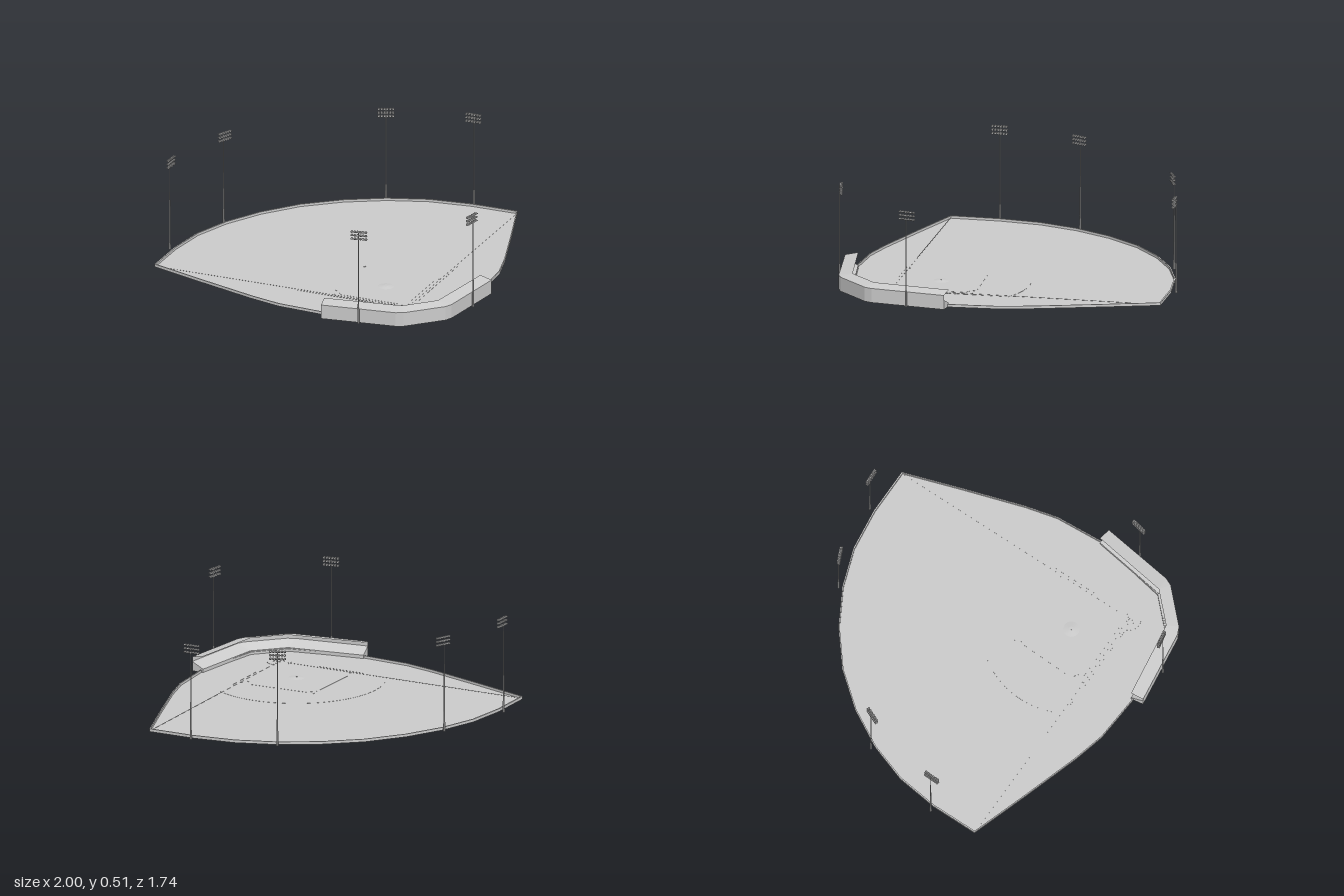
import * as THREE from 'three';

const grey = new THREE.MeshStandardMaterial({ color: 0xcccccc, flatShading: true, side: THREE.DoubleSide });

function add(parent, name, geometry, x = 0, y = 0, z = 0) {
  const mesh = new THREE.Mesh(geometry, grey);
  mesh.name = name;
  mesh.position.set(x, y, z);
  parent.add(mesh);
  return mesh;
}

// Completes a right-half outline of [x, z] points with its mirror image
const mirrored = half => [...half, ...half.filter(p => p[0] !== 0).reverse().map(([x, z]) => [-x, z])];

// Horizontal slab from an [x, z] outline, optionally with a hole
function slab(points, height, hole) {
  const toV = ([x, z]) => new THREE.Vector2(x, -z);
  const shape = new THREE.Shape(points.map(toV));
  if (hole) shape.holes.push(new THREE.Path(hole.map(toV)));
  return new THREE.ExtrudeGeometry(shape, { depth: height, bevelEnabled: false }).rotateX(-Math.PI / 2);
}

// Thin painted line between two ground points
function line(parent, name, [x1, z1], [x2, z2], y, width = 0.004) {
  const length = Math.hypot(x2 - x1, z2 - z1);
  const mesh = add(parent, name, new THREE.BoxGeometry(length, 0.0008, width), (x1 + x2) / 2, y, (z1 + z2) / 2);
  mesh.rotation.y = -Math.atan2(z2 - z1, x2 - x1);
}

// Covered grandstand: one cross-section swept along the bent plan
function grandstandGeometry() {
  const outer = mirrored([[0.47, 0.61], [0.155, 0.85], [0.115, 0.865]]);
  const inner = mirrored([[0.43, 0.555], [0.105, 0.797], [0.1, 0.8]]);
  // [0 = outer edge .. 1 = field edge, y]: roof, back wall, floor, front wall, seating slope
  const profile = [[1, 0.088], [0, 0.075], [0, 0], [1, 0], [1, 0.02], [0, 0.05]];
  const n = profile.length;
  const positions = [], index = [];
  outer.forEach(([ox, oz], i) => {
    const [ix, iz] = inner[i];
    for (const [t, y] of profile) positions.push(ox + (ix - ox) * t, y, oz + (iz - oz) * t);
  });
  for (let i = 0; i < outer.length - 1; i++) {
    for (let j = 0; j < n - 1; j++) {
      const a = i * n + j, b = a + n;
      index.push(a, b, a + 1, b, b + 1, a + 1);
    }
  }
  // End panels below the seats
  const e = (outer.length - 1) * n;
  index.push(2, 3, 4, 2, 4, 5, e + 2, e + 4, e + 3, e + 2, e + 5, e + 4);
  const g = new THREE.BufferGeometry();
  g.setAttribute('position', new THREE.Float32BufferAttribute(positions, 3));
  g.setIndex(index);
  const flat = g.toNonIndexed();
  flat.computeVertexNormals();
  return flat;
}

// Floodlight tower whose lamps face local +z
function lightTower() {
  const tower = new THREE.Group();
  tower.name = 'lightTower';
  add(tower, 'towerBase', new THREE.CylinderGeometry(0.0045, 0.006, 0.08, 8), 0, 0.04, 0);
  add(tower, 'towerPole', new THREE.CylinderGeometry(0.002, 0.0035, 0.43, 8), 0, 0.285, 0);
  const lamp = new THREE.CylinderGeometry(0.007, 0.004, 0.011, 8).rotateX(Math.PI / 2 + 0.35);
  for (let row = 0; row < 3; row++) {
    const y = 0.462 + row * 0.019;
    add(tower, 'lampBar', new THREE.BoxGeometry(0.084, 0.004, 0.004), 0, y, 0.002);
    for (let i = 0; i < 6; i++) add(tower, 'lamp', lamp, (i - 2.5) * 0.0148, y, 0.009);
  }
  return tower;
}

export function createModel() {
  const model = new THREE.Group();
  model.name = 'baseballStadium';

  // Ground and perimeter fence
  const field = mirrored([[0, -0.87], [0.23, -0.846], [0.445, -0.785], [0.64, -0.69], [0.82, -0.55], [1, -0.37],
    [0.855, -0.08], [0.7, 0.22], [0.61, 0.37], [0.44, 0.565], [0.1, 0.8]]);
  add(model, 'ground', slab(field, 0.002));
  add(model, 'fence', slab(field, 0.015, field.map(([x, z]) => [x * 0.992, z * 0.992])));

  // Infield dirt with its rounded outer edge
  const dirt = [[0, -0.137]];
  for (let i = 1; i <= 16; i++) {
    const a = i / 16 * 1.3;
    dirt.push([0.462 * Math.sin(a), 0.325 - 0.462 * Math.cos(a)]);
  }
  dirt.push([0.025, 0.63]);
  add(model, 'infieldDirt', slab(mirrored(dirt), 0.0008), 0, 0.002, 0);

  // Inner grass diamond with clipped corners
  const diamond = mirrored([[0.03, 0.06], [0.26, 0.275], [0.25, 0.31], [0.26, 0.345], [0.03, 0.575]]);
  add(model, 'infieldGrass', slab(diamond, 0.0008), 0, 0.0028, 0);

  // Pitching mound and home plate circle
  add(model, 'pitchingMound', new THREE.CylinderGeometry(0.012, 0.042, 0.004, 24), 0, 0.0056, 0.325);
  add(model, 'pitchersPlate', new THREE.BoxGeometry(0.012, 0.001, 0.003), 0, 0.008, 0.325);
  add(model, 'homeCircle', new THREE.CylinderGeometry(0.063, 0.063, 0.001, 32), 0, 0.0034, 0.625);
  add(model, 'homePlate', slab([[-0.005, 0.618], [0.005, 0.618], [0.005, 0.624], [0, 0.63], [-0.005, 0.624]], 0.001), 0, 0.004, 0);
  add(model, 'secondBase', new THREE.BoxGeometry(0.01, 0.002, 0.01), 0, 0.0036, 0.03).rotation.y = Math.PI / 4;

  for (const s of [-1, 1]) {
    // Foul line, side base and batter's box
    line(model, 'foulLine', [s * 0.03, 0.6], [s * 0.995, -0.367], 0.0038);
    add(model, 'sideBase', new THREE.BoxGeometry(0.01, 0.002, 0.01), s * 0.292, 0.0036, 0.33).rotation.y = Math.PI / 4;
    const [x1, x2, z1, z2] = [s * 0.01, s * 0.027, 0.6, 0.645];
    const box = [[x1, z1], [x2, z1], [x2, z2], [x1, z2]];
    box.forEach((p, i) => line(model, 'battersBoxLine', p, box[(i + 1) % 4], 0.0042, 0.002));
    // Running lane beside the foul line
    line(model, 'runningLane', [s * 0.17, 0.48], [s * 0.35, 0.3], 0.0036, 0.003);

    // Floodlight towers turned towards the field
    for (const [x, z, tx, tz] of [[0.838, -0.567, -0.68, 0.73], [0.447, -0.805, -0.36, 0.93], [0.316, 0.742, -0.56, -0.83]]) {
      const tower = lightTower();
      tower.position.set(s * x, 0, z);
      tower.rotation.y = Math.atan2(s * tx, tz);
      model.add(tower);
    }
  }

  add(model, 'grandstand', grandstandGeometry());
  return model;
}
